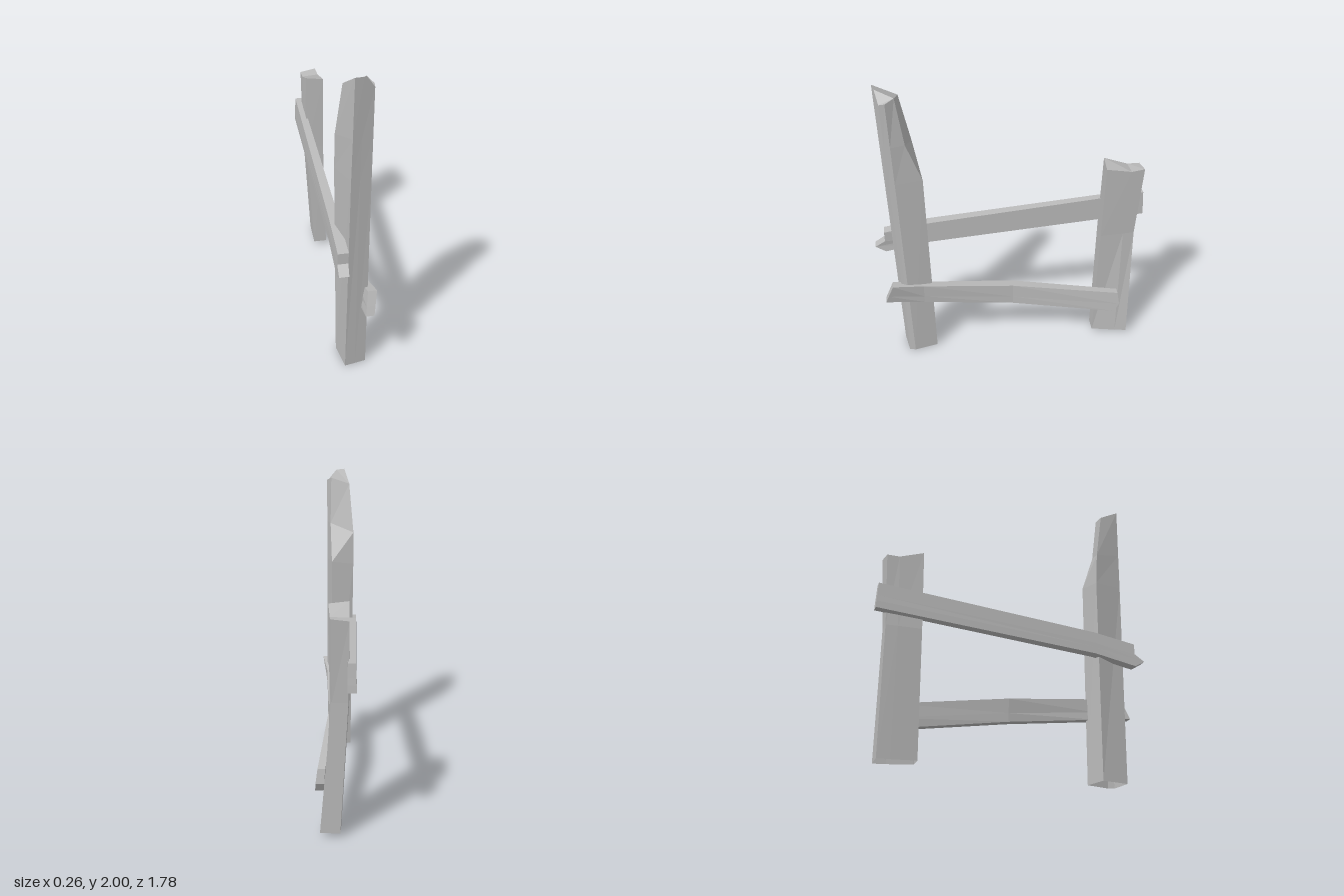
import * as THREE from 'three';

// Skin a list of equal-sized rings of [x, y, z]; caps are laddered across the ring.
function loft(rings, capStart, capEnd) {
  const pos = [];
  const tri = (...pts) => pts.forEach((p) => pos.push(...p));
  const n = rings[0].length;
  for (let i = 0; i < rings.length - 1; i++) {
    for (let j = 0; j < n; j++) {
      const k = (j + 1) % n;
      const [a, b, c, d] = [rings[i][j], rings[i][k], rings[i + 1][k], rings[i + 1][j]];
      tri(a, b, c);
      tri(a, c, d);
    }
  }
  const cap = (r) => {
    for (let i = 0; i < n / 2 - 1; i++) {
      tri(r[i], r[i + 1], r[n - 1 - i]);
      tri(r[i + 1], r[n - 2 - i], r[n - 1 - i]);
    }
  };
  if (capStart) cap([...rings[0]].reverse());
  if (capEnd) cap(rings[rings.length - 1]);
  const geo = new THREE.BufferGeometry();
  geo.setAttribute('position', new THREE.Float32BufferAttribute(pos, 3));
  geo.computeVertexNormals();
  return geo;
}

// A rail runs from back to front; each station lists [z, y, xInner, xOuter] from bottom to top.
function rail(stations) {
  const rings = stations.map((s) => [
    ...s.map(([z, y, , x]) => [x, y, z]),
    ...s.map(([z, y, x]) => [x, y, z]).reverse(),
  ]);
  return loft(rings, true, true);
}

export function createModel() {
  const group = new THREE.Group();
  const wood = new THREE.MeshStandardMaterial({ color: 0xbababa, flatShading: true, side: THREE.DoubleSide });
  wood.name = 'greyWood';
  const add = (name, geo) => {
    const mesh = new THREE.Mesh(geo, wood);
    mesh.name = name;
    group.add(mesh);
  };

  // Tall front post, twisted a little, with a chipped back and a slanted top; open underneath
  add('frontPost', loft([
    [[-0.065, 0, 0.755], [0, 0, 0.743], [0.07, 0, 0.73], [0.08, 0, 0.69], [0.045, 0, 0.535], [-0.09, 0, 0.58]],
    [[-0.05, 1.38, 0.793], [0.005, 1.38, 0.778], [0.073, 1.38, 0.762], [0.08, 1.38, 0.725], [0.045, 1.38, 0.555], [-0.105, 1.36, 0.59]],
    [[-0.045, 1.64, 0.8], [0.01, 1.64, 0.784], [0.074, 1.64, 0.768], [0.08, 1.64, 0.732], [0.055, 1.64, 0.645], [-0.105, 1.58, 0.605]],
    [[-0.04, 2, 0.81], [0.015, 1.995, 0.795], [0.075, 1.925, 0.775], [0.08, 1.93, 0.74], [0.05, 1.95, 0.685], [-0.075, 1.91, 0.665]],
  ], false, true));

  // Short back post, flaring at the foot, with a dipped top; open underneath
  add('backPost', loft([
    [[0.06, 0.035, -0.57], [0.087, 0.03, -0.73], [0.1, 0.03, -0.81], [-0.02, 0.03, -0.81], [-0.025, 0.03, -0.73], [-0.03, 0.035, -0.57]],
    [[0.045, 0.85, -0.588], [0.036, 0.85, -0.74], [0.03, 0.85, -0.815], [-0.065, 0.85, -0.815], [-0.07, 0.85, -0.74], [-0.075, 0.85, -0.59]],
    [[0.05, 1.37, -0.595], [0.04, 1.335, -0.76], [0.035, 1.345, -0.845], [-0.07, 1.33, -0.835], [-0.07, 1.33, -0.755], [-0.07, 1.385, -0.6]],
  ], false, true));

  // Upper rail on the right side, with a splintered front end
  add('upperRail', rail([
    [[-0.89, 0.935, -0.11, -0.06], [-0.888, 0.98, -0.11, -0.06], [-0.885, 1.02, -0.108, -0.06], [-0.88, 1.105, -0.105, -0.06]],
    [[0.55, 0.825, -0.128, -0.065], [0.55, 0.87, -0.128, -0.065], [0.55, 0.9, -0.128, -0.065], [0.55, 0.975, -0.125, -0.065]],
    [[0.83, 0.77, -0.135, -0.07], [0.895, 0.81, -0.135, -0.075], [0.83, 0.855, -0.133, -0.068], [0.83, 0.927, -0.13, -0.065]],
  ]));

  // Lower rail on the left side, bent in the middle, with a blunt back end
  add('lowerRail', rail([
    [[-0.7, 0.25, 0.08, 0.13], [-0.735, 0.31, 0.075, 0.127], [-0.72, 0.4, 0.07, 0.115]],
    [[0, 0.345, 0.012, 0.064], [0, 0.4, 0.008, 0.062], [0, 0.493, 0, 0.058]],
    [[0.6, 0.428, 0.025, 0.075], [0.6, 0.48, 0.03, 0.078], [0.6, 0.57, 0.032, 0.082]],
    [[0.855, 0.465, 0.038, 0.09], [0.835, 0.52, 0.047, 0.1], [0.8, 0.61, 0.06, 0.115]],
  ]));

  return group;
}
